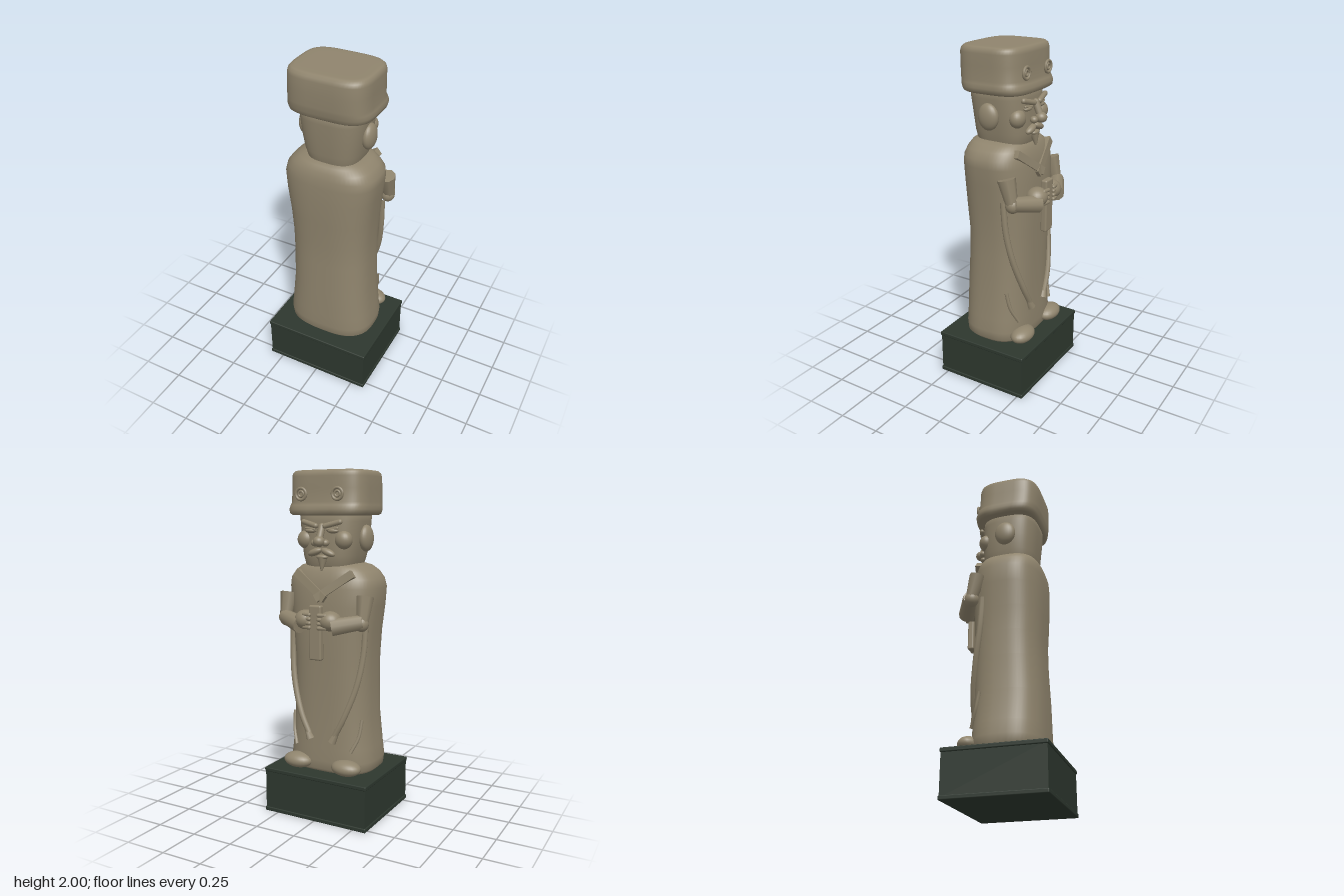
import * as THREE from 'three';
import { RoundedBoxGeometry } from 'three/addons/geometries/RoundedBoxGeometry.js';

const V = (x, y, z) => new THREE.Vector3(x, y, z);

// Closed body from stacked superellipse rings: [y, xMin, xMax, zFront, zBack]
function loft(rings, power, segments = 56) {
  const pos = [], index = [];
  const bend = (v) => Math.sign(v) * Math.pow(Math.abs(v), 2 / power);
  for (const [y, x0, x1, z0, z1] of rings) {
    for (let i = 0; i < segments; i++) {
      const t = (i / segments) * Math.PI * 2;
      pos.push((x0 + x1) / 2 + bend(Math.cos(t)) * (x1 - x0) / 2, y,
        (z0 + z1) / 2 + bend(Math.sin(t)) * (z1 - z0) / 2);
    }
  }
  for (let r = 0; r < rings.length - 1; r++) {
    for (let i = 0; i < segments; i++) {
      const a = r * segments + i, b = r * segments + (i + 1) % segments;
      index.push(a, a + segments, b, b, a + segments, b + segments);
    }
  }
  // End caps
  for (const top of [false, true]) {
    const [y, x0, x1, z0, z1] = rings[top ? rings.length - 1 : 0];
    const start = top ? (rings.length - 1) * segments : 0;
    const c = pos.length / 3;
    pos.push((x0 + x1) / 2, y, (z0 + z1) / 2);
    for (let i = 0; i < segments; i++) {
      const a = start + i, b = start + (i + 1) % segments;
      if (top) index.push(c, b, a); else index.push(c, a, b);
    }
  }
  const g = new THREE.BufferGeometry();
  g.setAttribute('position', new THREE.Float32BufferAttribute(pos, 3));
  g.setIndex(index);
  g.computeVertexNormals();
  return g;
}

export function createModel() {
  const model = new THREE.Group();
  const stone = new THREE.MeshStandardMaterial({ color: 0x8f846d });
  stone.name = 'weathered stone';
  const dark = new THREE.MeshStandardMaterial({ color: 0x2d372e });
  dark.name = 'dark green plinth';

  const add = (name, geometry, material = stone, p = V(0, 0, 0)) => {
    const mesh = new THREE.Mesh(geometry, material);
    mesh.name = name;
    mesh.position.copy(p);
    model.add(mesh);
    return mesh;
  };
  const blob = (name, p, rx, ry, rz) => {
    const m = add(name, new THREE.SphereGeometry(1, 24, 16), stone, p);
    m.scale.set(rx, ry, rz);
    return m;
  };
  // Aligns a y-axis geometry between two points
  const between = (name, geometry, a, b) => {
    const m = add(name, geometry, stone, a.clone().lerp(b, 0.5));
    m.quaternion.setFromUnitVectors(V(0, 1, 0), b.clone().sub(a).normalize());
    return m;
  };
  const limb = (name, a, b, rA, rB, sides = 16) =>
    between(name, new THREE.CylinderGeometry(rB, rA, a.distanceTo(b), sides), a, b);
  const capsule = (name, a, b, r) =>
    between(name, new THREE.CapsuleGeometry(r, a.distanceTo(b), 6, 12), a, b);

  // Plinth with thin lips at top and bottom
  add('plinth', new THREE.BoxGeometry(0.66, 0.25, 0.57), dark, V(0, 0.136, 0.004));
  for (const y of [0.0125, 0.26]) {
    add('plinthLip', new RoundedBoxGeometry(0.672, 0.025, 0.58, 2, 0.006), dark, V(0, y, 0.004));
  }

  // Long robe
  add('robe', loft([
    [0.27, -0.25, 0.25, -0.175, 0.2],
    [0.29, -0.27, 0.268, -0.19, 0.215],
    [0.34, -0.276, 0.272, -0.193, 0.219],
    [0.42, -0.265, 0.262, -0.19, 0.217],
    [0.6, -0.245, 0.247, -0.186, 0.214],
    [0.8, -0.243, 0.238, -0.187, 0.205],
    [0.95, -0.245, 0.237, -0.19, 0.204],
    [1.1, -0.253, 0.248, -0.194, 0.213],
    [1.25, -0.272, 0.263, -0.193, 0.218],
    [1.35, -0.28, 0.276, -0.185, 0.216],
    [1.4, -0.266, 0.273, -0.175, 0.212],
    [1.44, -0.235, 0.243, -0.162, 0.2],
    [1.47, -0.19, 0.205, -0.145, 0.182],
    [1.485, -0.14, 0.16, -0.12, 0.15],
  ], 2.8), stone);

  // Head, tapering to the chin
  add('head', loft([
    [1.42, -0.12, 0.15, -0.13, 0.14],
    [1.48, -0.14, 0.165, -0.15, 0.158],
    [1.53, -0.155, 0.178, -0.16, 0.168],
    [1.62, -0.17, 0.19, -0.16, 0.176],
    [1.72, -0.178, 0.203, -0.158, 0.185],
    [1.8, -0.18, 0.205, -0.155, 0.185],
  ], 3), stone);

  // Tall block hat with a rolled lower rim
  add('hat', loft([
    [1.752, -0.18, 0.2, -0.155, 0.18],
    [1.753, -0.215, 0.235, -0.178, 0.19],
    [1.762, -0.23, 0.25, -0.19, 0.2],
    [1.785, -0.235, 0.256, -0.193, 0.207],
    [1.808, -0.232, 0.252, -0.184, 0.211],
    [1.825, -0.229, 0.247, -0.175, 0.214],
    [1.9, -0.226, 0.246, -0.17, 0.217],
    [1.965, -0.224, 0.247, -0.169, 0.216],
    [1.985, -0.219, 0.243, -0.164, 0.21],
    [1.997, -0.208, 0.232, -0.152, 0.196],
    [2.0, -0.19, 0.215, -0.138, 0.18],
    [2.0, -0.15, 0.17, -0.1, 0.14],
  ], 3.8), stone);

  // Nose, mouth and pointed beard
  capsule('noseBridge', V(0.005, 1.69, -0.165), V(0.005, 1.62, -0.195), 0.02);
  blob('noseTip', V(0.005, 1.61, -0.2), 0.033, 0.03, 0.034);
  blob('lowerLip', V(0.005, 1.523, -0.165), 0.035, 0.014, 0.02);
  limb('beard', V(0.005, 1.515, -0.158), V(0.005, 1.45, -0.17), 0.028, 0.006);

  for (const s of [-1, 1]) {
    const M = (x, y, z) => V(s * x, y, z);
    const F = (x, y, z) => V(s * x + 0.01, y, z);

    // Face details
    capsule('eyebrow', F(0.03, 1.695, -0.175), F(0.115, 1.717, -0.16), 0.015);
    blob('eye', F(0.07, 1.668, -0.158), 0.036, 0.014, 0.02);
    capsule('eyelid', F(0.04, 1.675, -0.168), F(0.1, 1.682, -0.162), 0.007);
    blob('cheek', F(0.12, 1.618, -0.125), 0.052, 0.052, 0.045);
    blob('nostril', F(0.034, 1.602, -0.178), 0.022, 0.02, 0.022);
    blob('moustache', F(0.042, 1.55, -0.163), 0.046, 0.02, 0.024).rotation.z = -s * 0.35;
    blob('ear', F(0.19, 1.625, 0.015), 0.037, 0.075, 0.063);

    // Ring ornaments on the hat
    const badge = V(s * 0.115 + 0.015, 1.868, -0.18);
    add('hatRing', new THREE.TorusGeometry(0.032, 0.008, 8, 24), stone, badge);
    add('hatInnerRing', new THREE.TorusGeometry(0.015, 0.006, 8, 18), stone, badge);

    // Crossed collar band
    const a = M(-0.03, 1.29, -0.192), b = M(0.18, 1.435, -0.148);
    between('collar', new THREE.BoxGeometry(0.045, a.distanceTo(b), 0.035), a, b);

    // Sleeves and forearms
    limb('upperSleeve', M(0.247, 1.31, -0.128), M(0.25, 1.17, -0.165), 0.052, 0.034, 8);
    blob('elbow', M(0.245, 1.165, -0.165), 0.04, 0.045, 0.042);
    limb('forearm', M(0.252, 1.175, -0.17), M(0.1, 1.145, -0.245), 0.042, 0.05, 10);
    blob('hand', M(0.078, 1.175, -0.222), 0.066, 0.056, 0.062);
    for (let i = 0; i < 4; i++) {
      const y = 1.21 - i * 0.024;
      capsule('finger', M(0.068, y, -0.262), M(0.03, y, -0.268), 0.011);
    }

    // Hanging sleeve hem, flared at its lower end
    const hem = new THREE.CatmullRomCurve3([
      M(0.238, 1.17, -0.1), M(0.232, 0.98, -0.115), M(0.205, 0.8, -0.145),
      M(0.14, 0.61, -0.179), M(0.085, 0.5, -0.187),
    ]);
    add('sleeveHem', new THREE.TubeGeometry(hem, 32, 0.018, 8), stone);
    limb('hemTip', M(0.105, 0.535, -0.184), M(0.07, 0.465, -0.19), 0.012, 0.026, 8);

    // Small robe fold above the foot
    const fold = new THREE.CatmullRomCurve3([
      M(0.225, 0.6, -0.112), M(0.215, 0.5, -0.135), M(0.18, 0.41, -0.17),
    ]);
    add('robeFold', new THREE.TubeGeometry(fold, 16, 0.011, 6), stone);

    blob('foot', M(0.16, 0.322, -0.185), 0.092, 0.046, 0.064);
  }

  // Tablet held between the hands
  add('tablet', new RoundedBoxGeometry(0.078, 0.31, 0.038, 3, 0.01), stone, V(0, 1.107, -0.243));

  return model;
}
